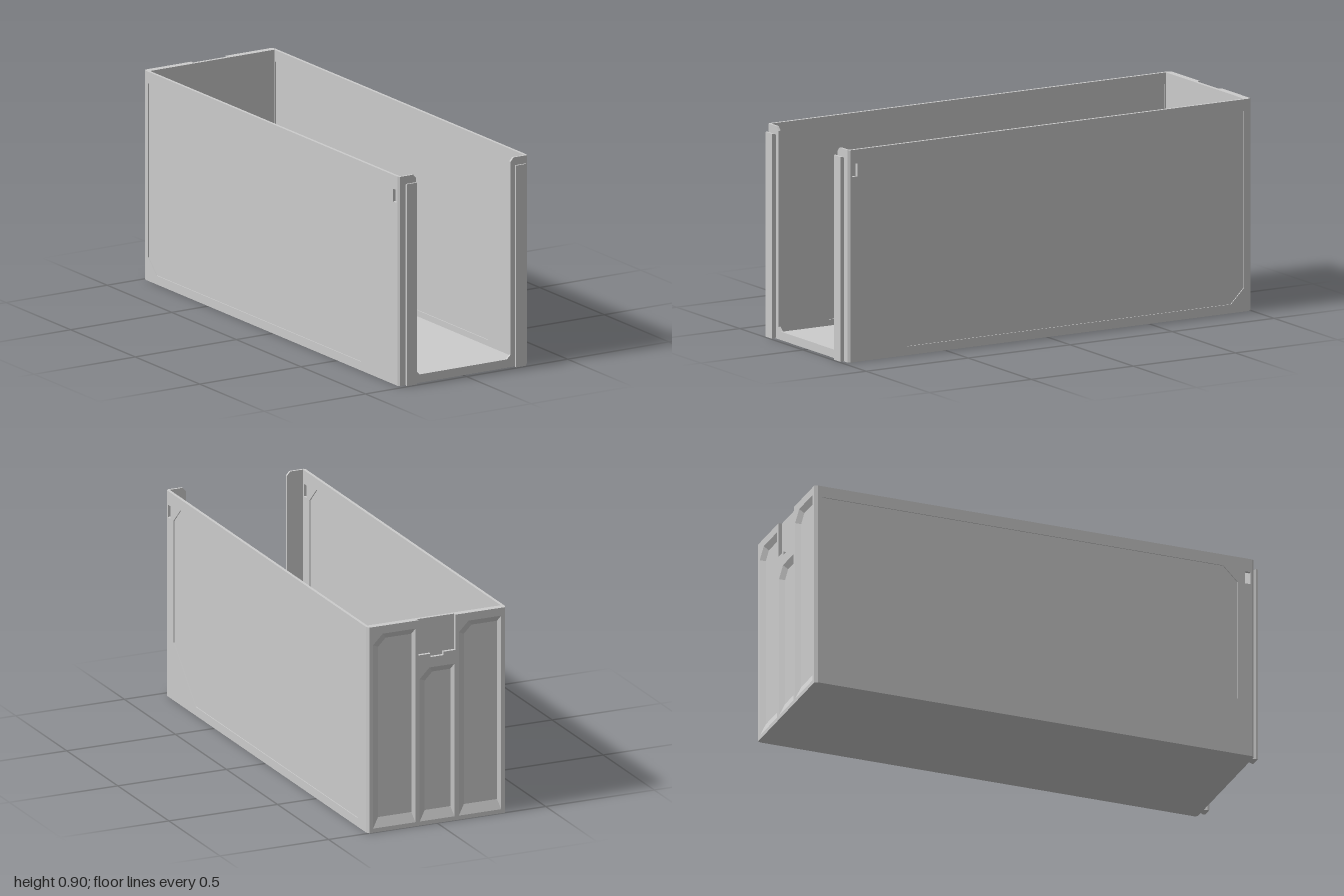
import * as THREE from 'three';
import { mergeGeometries } from 'three/addons/utils/BufferGeometryUtils.js';

const W = 0.32, H = 0.905, BACK = -1, FRONT = 0.975;
const material = new THREE.MeshStandardMaterial({ color: 0xcccccc });

const toV = pts => pts.map(([x, y]) => new THREE.Vector2(x, y));
function makeShape(pts, holes = []) {
  const s = new THREE.Shape(toV(pts));
  for (const h of holes) s.holes.push(new THREE.Path(toV(h)));
  return s;
}
const rect = (x0, x1, y0, y1) => [[x0, y0], [x1, y0], [x1, y1], [x0, y1]];

// walls between two matching outlines, counter-clockwise seen from +z
function loft(a, za, b, zb) {
  const p = [];
  a.forEach((_, i) => {
    const j = (i + 1) % a.length;
    const A = [...a[i], za], B = [...a[j], za], C = [...b[j], zb], D = [...b[i], zb];
    p.push(...A, ...B, ...C, ...A, ...C, ...D);
  });
  const g = new THREE.BufferGeometry();
  g.setAttribute('position', new THREE.Float32BufferAttribute(p, 3));
  return g;
}

// solid from outline a at za to outline b at zb; holes run between matching outlines
function frustum(a, za, b, zb, holesA = [], holesB = []) {
  const cap = (pts, holes, z, flip) => {
    const g = new THREE.ShapeGeometry(makeShape(pts, holes));
    if (flip) g.index.array.reverse();
    g.translate(0, 0, z);
    g.deleteAttribute('uv');
    g.deleteAttribute('normal');
    return g.toNonIndexed();
  };
  const parts = [cap(a, holesA, za, true), cap(b, holesB, zb, false), loft(a, za, b, zb)];
  holesA.forEach((h, i) => parts.push(loft([...h].reverse(), za, [...holesB[i]].reverse(), zb)));
  const g = mergeGeometries(parts);
  g.computeVertexNormals();
  return g;
}

export function createModel() {
  const root = new THREE.Group();
  const add = (name, geometry, parent = root) => {
    const m = new THREE.Mesh(geometry, material);
    m.name = name;
    parent.add(m);
    return m;
  };

  // floor
  const floor = add('floor', new THREE.BoxGeometry(2 * W - 0.004, 0.012, 1.95));
  floor.position.set(0, 0.006, -0.01);

  // side walls: thin core with a frame on both faces, pierced by a small window
  const sideOutline = rect(-0.965, 0.985, 0, H);
  const windowHole = rect(-0.957, -0.932, 0.79, 0.845);
  const panelHole = [[-0.9, 0.79], [-0.9, 0.255], [-0.685, 0.038], [0.9, 0.038],
    [0.965, 0.102], [0.965, 0.855], [-0.835, 0.855]];
  const layers = [['innerFrame', 0.307, true], ['panel', 0.3115, false], ['outerFrame', 0.3155, true]];
  for (const s of [1, -1]) {
    const side = new THREE.Group();
    side.name = s > 0 ? 'leftWall' : 'rightWall';
    for (const [name, x, framed] of layers) {
      const holes = framed ? [windowHole, panelHole] : [windowHole];
      const g = new THREE.ExtrudeGeometry(makeShape(sideOutline, holes), { depth: 0.0045, bevelEnabled: false });
      g.rotateY(Math.PI / 2);
      g.translate(s > 0 ? x : -x - 0.0045, 0, 0);
      add(name, g, side);
    }
    root.add(side);
  }

  // front frame: U-shaped flange with bevelled outer edges
  const uShape = w => [[-w, 0], [w, 0], [w, H], [0.248, H], [0.233, 0.888], [0.233, 0.053], [0.215, 0.036],
    [-0.215, 0.036], [-0.233, 0.053], [-0.233, 0.888], [-0.248, H], [-w, H]];
  add('frontFlange', frustum(uShape(W), 0.965, uShape(W - 0.008), FRONT));

  // dovetail rails on the front flange
  for (const s of [1, -1]) {
    const base = rect(s * 0.27 - 0.015, s * 0.27 + 0.015, 0.003, 0.868);
    const face = rect(s * 0.27 - 0.025, s * 0.27 + 0.025, 0.003, 0.876);
    const rail = new THREE.Group();
    rail.name = s > 0 ? 'leftRail' : 'rightRail';
    add('railNeck', frustum(base, FRONT, face, 0.992), rail);
    add('railFace', frustum(face, 0.992, face, 1), rail);
    root.add(rail);
  }

  // back wall: inner plate and an outer layer with three sloped pockets and a latch notch
  const plate = add('backPlate', new THREE.BoxGeometry(2 * W, H, 0.015));
  plate.position.set(0, H / 2, -0.9775);

  const backOutline = w => [[-w, 0], [w, 0], [w, H], [0.085, H], [0.085, 0.75], [0.03, 0.75], [0.03, 0.735],
    [-0.03, 0.735], [-0.03, 0.75], [-0.085, 0.75], [-0.085, H], [-w, H]];
  const pocket = (x0, x1, y0, y1, cut) =>
    [[x0, y0], [x1, y0], [x1, y1 - cut], [x1 - cut, y1], [x0, y1]];
  const pockets = [[-0.295, -0.1, 0.87], [-0.08, 0.08, 0.69], [0.1, 0.295, 0.87]];
  const mouths = pockets.map(([a, b, top]) => pocket(a, b, 0.018, top, 0.045));
  const beds = pockets.map(([a, b, top]) => pocket(a + 0.012, b - 0.03, 0.06, top - 0.025, 0.035));
  add('backPocketLayer', frustum(backOutline(W - 0.008), BACK, backOutline(W), -0.985, mouths, beds));

  return root;
}
